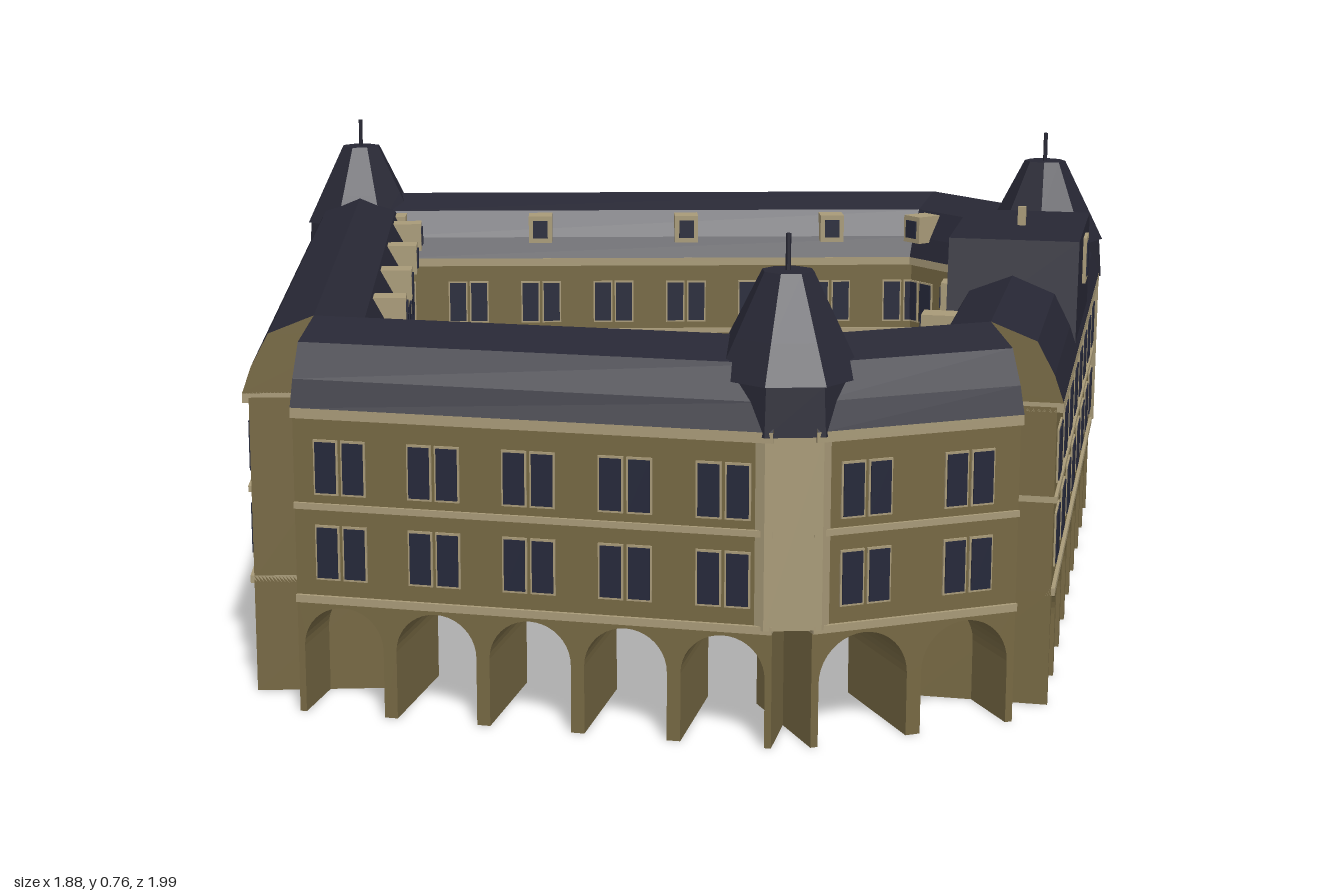
import * as THREE from 'three';
import { mergeGeometries } from 'three/addons/utils/BufferGeometryUtils.js';

const material = (name, color) => {
  const m = new THREE.MeshStandardMaterial({ color });
  m.name = name;
  return m;
};
const WALL = material('khaki stone', 0x766843);
const TRIM = material('pale stone', 0xa89a78);
const ROOF = material('dark slate', 0x272734);
const GLASS = material('dark glass', 0x25283a);

const HALF = 0.105;          // half depth of a wing
const EAVE = 0.115;          // half depth at the eaves
const FLOOR = 0.185, TOP = 0.48;

// Axis corners of the ring and the number of bays on the side that follows each
const CORNERS = [
  { x: -0.826, z: -0.36, bays: 8, tower: true },
  { x: 0.25, z: -0.908, bays: 2 },
  { x: 0.541, z: -0.74, bays: 8, tower: true, pavilion: true },
  { x: 0.82, z: 0.464, bays: 2 },
  { x: 0.583, z: 0.707, bays: 5, tower: true },
  { x: -0.145, z: 0.871, bays: 10 },
];

function add(parent, name, geometry, mat) {
  const mesh = new THREE.Mesh(geometry, mat);
  mesh.name = name;
  parent.add(mesh);
  return mesh;
}

const box = (w, h, d, x, y, z) => new THREE.BoxGeometry(w, h, d).translate(x, y, z);

// Row of arched tunnels running through the whole depth
function arcade(length, bays) {
  const bay = length / bays, r = bay * 0.43, spring = 0.172 - r;
  const s = new THREE.Shape();
  s.moveTo(-length / 2, 0);
  for (let i = 0; i < bays; i++) {
    const c = -length / 2 + bay * (i + 0.5);
    s.lineTo(c - r, 0);
    s.lineTo(c - r, spring);
    s.absarc(c, spring, r, Math.PI, 0, true);
    s.lineTo(c + r, 0);
  }
  s.lineTo(length / 2, 0);
  s.lineTo(length / 2, FLOOR);
  s.lineTo(-length / 2, FLOOR);
  return new THREE.ExtrudeGeometry(s, { depth: HALF * 2, bevelEnabled: false, curveSegments: 10 })
    .translate(0, 0, -HALF);
}

// Mansard roof extruded along the wing
function mansard(length) {
  const half = [[EAVE, 0.487], [0.1, 0.53], [0.072, 0.582]];
  const points = [...half, [0, 0.61], ...half.map(([d, y]) => [-d, y]).reverse()];
  const s = new THREE.Shape(points.map(([d, y]) => new THREE.Vector2(d, y)));
  return new THREE.ExtrudeGeometry(s, { depth: length, bevelEnabled: false })
    .rotateY(Math.PI / 2).translate(-length / 2, 0, 0);
}

// Raised roof block with a framed window on both sides
function pavilion() {
  const g = new THREE.Group();
  g.name = 'roofPavilion';
  const s = new THREE.Shape();
  s.moveTo(-0.205, 0.5);
  s.lineTo(0.205, 0.5);
  s.lineTo(0.178, 0.67);
  s.lineTo(-0.178, 0.67);
  add(g, 'pavilionBlock', new THREE.ExtrudeGeometry(s, { depth: 0.22, bevelEnabled: false })
    .translate(0, 0, -0.11), ROOF);
  for (const side of [-1, 1]) {
    add(g, 'pavilionWindowFrame', box(0.07, 0.08, 0.008, 0, 0.615, side * 0.112), TRIM);
    add(g, 'pavilionWindowPane', box(0.048, 0.058, 0.008, 0, 0.615, side * 0.114), GLASS);
  }
  add(g, 'pavilionFinial', box(0.014, 0.035, 0.014, 0, 0.685, 0), TRIM);
  return g;
}

// One straight wing; local x runs along it and local +z faces the courtyard
function wing(a, b) {
  const g = new THREE.Group();
  g.name = 'wing';
  const dx = b.x - a.x, dz = b.z - a.z, length = Math.hypot(dx, dz), bay = length / a.bays;
  g.position.set((a.x + b.x) / 2, 0, (a.z + b.z) / 2);
  g.rotation.y = Math.atan2(-dz, dx);

  add(g, 'arcade', arcade(length, a.bays), WALL);
  add(g, 'upperWalls', box(length, TOP - FLOOR, HALF * 2, 0, (TOP + FLOOR) / 2, 0), WALL);
  add(g, 'roof', mansard(length), [WALL, ROOF]);
  add(g, 'stringCourses', mergeGeometries([
    box(length, 0.012, HALF * 2 + 0.012, 0, FLOOR, 0),
    box(length, 0.01, HALF * 2 + 0.01, 0, 0.333, 0),
    box(length, 0.016, EAVE * 2, 0, TOP, 0),
  ]), TRIM);

  const frames = [], panes = [], dormers = [], dormerPanes = [];
  for (let i = 0; i < a.bays; i++) {
    const c = -length / 2 + bay * (i + 0.5);
    // Paired windows on two floors, both faces
    for (const side of [-1, 1]) for (const y of [0.26, 0.395]) for (const o of [-0.022, 0.022]) {
      frames.push(box(0.039, 0.087, 0.004, c + o, y, side * (HALF + 0.001)));
      panes.push(box(0.033, 0.08, 0.006, c + o, y, side * (HALF + 0.002)));
    }
    // A dormer over every other bay on the courtyard slope
    if (i % 2 === 0) {
      dormers.push(box(0.048, 0.055, 0.06, c, 0.55, 0.1));
      dormerPanes.push(box(0.03, 0.036, 0.006, c, 0.55, 0.13));
    }
  }
  add(g, 'windowFrames', mergeGeometries(frames), TRIM);
  add(g, 'windowPanes', mergeGeometries(panes), GLASS);
  add(g, 'dormers', mergeGeometries(dormers), TRIM);
  add(g, 'dormerPanes', mergeGeometries(dormerPanes), GLASS);
  if (a.pavilion) g.add(pavilion());
  return g;
}

// Eight-sided corner turret with a truncated roof and a mast
function tower({ x, z }, angle) {
  const g = new THREE.Group();
  g.name = 'cornerTower';
  g.position.set(x, 0, z);
  g.rotation.y = angle;
  const prism = (name, rTop, rBottom, y0, y1, mat, sides = 8) =>
    add(g, name, new THREE.CylinderGeometry(rTop, rBottom, y1 - y0, sides)
      .rotateY(Math.PI / sides).toNonIndexed().translate(0, (y0 + y1) / 2, 0), mat)
      .geometry.computeVertexNormals();
  prism('towerDrum', 0.114, 0.114, FLOOR, TOP, TRIM);
  prism('towerRoofDrum', 0.112, 0.118, TOP, 0.555, ROOF);
  prism('towerLowerRoof', 0.088, 0.118, 0.555, 0.615, ROOF);
  prism('towerUpperRoof', 0.04, 0.088, 0.615, 0.71, ROOF);
  prism('towerMast', 0.004, 0.004, 0.71, 0.765, ROOF, 6);
  return g;
}

export function createModel() {
  const model = new THREE.Group();
  model.name = 'courtyardBuilding';
  const n = CORNERS.length;
  CORNERS.forEach((c, i) => {
    const next = CORNERS[(i + 1) % n], prev = CORNERS[(i + n - 1) % n];
    model.add(wing(c, next));
    if (c.tower) {
      // Turn one face of the turret toward the outer bisector
      const u = new THREE.Vector2(c.x - next.x, c.z - next.z).normalize();
      const v = new THREE.Vector2(c.x - prev.x, c.z - prev.z).normalize();
      model.add(tower(c, Math.atan2(u.x + v.x, u.y + v.y)));
    }
  });
  return model;
}
